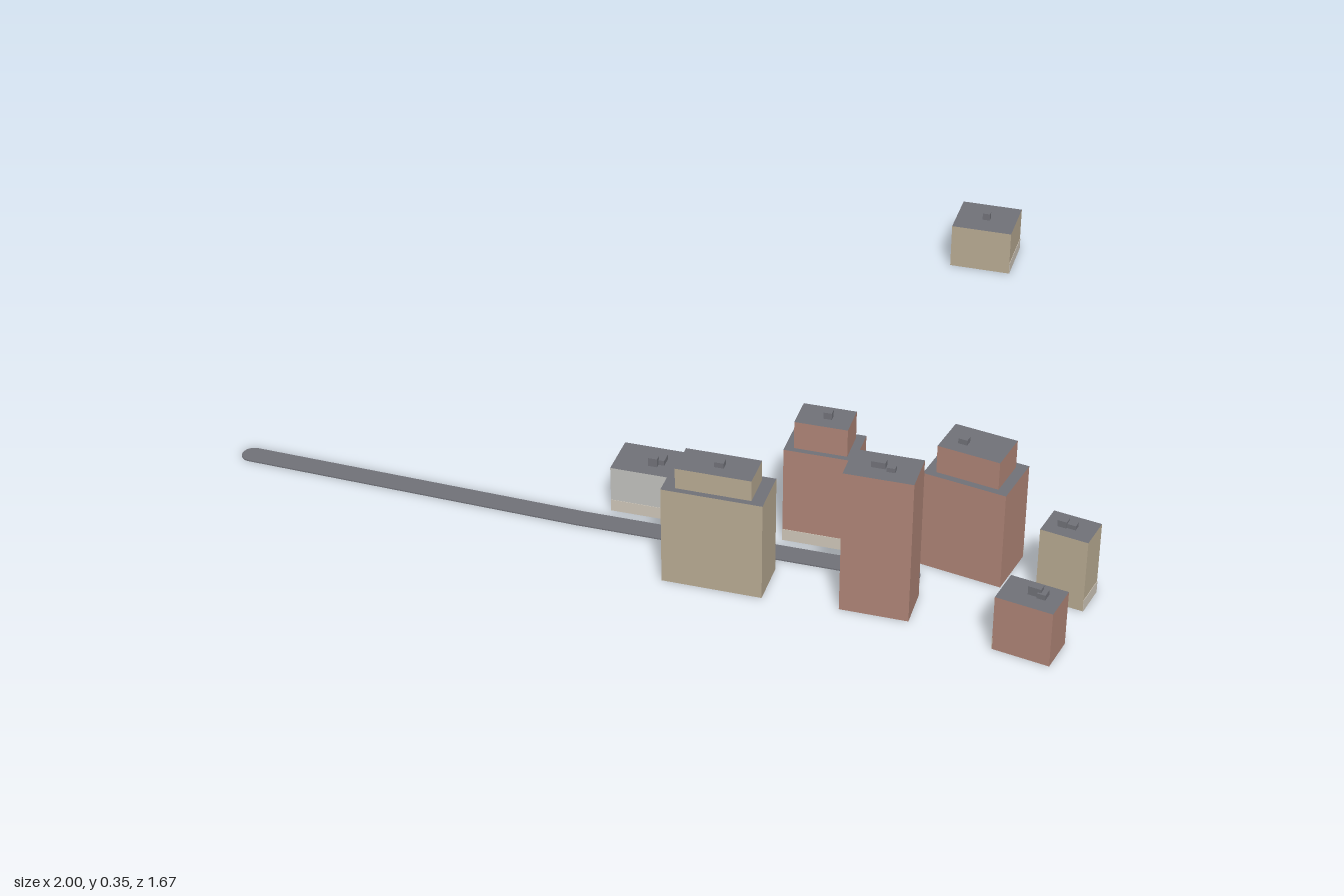
import * as THREE from 'three';

const mat = (name, color) => {
  const m = new THREE.MeshStandardMaterial({ color });
  m.name = name;
  return m;
};

// Flat street with rounded ends, built around a bent centre line of [x, z] points
function roadGeometry(points, radius, height) {
  const p = points.map(([x, z]) => new THREE.Vector2(x, -z));
  const last = p.length - 1;
  const dir = (i, j) => p[j].clone().sub(p[i]).normalize();
  const side = (i) => {
    const d = dir(Math.max(i - 1, 0), Math.min(i + 1, last));
    return new THREE.Vector2(-d.y, d.x).multiplyScalar(radius);
  };
  const a0 = dir(0, 1).angle(), a1 = dir(last - 1, last).angle();
  const shape = new THREE.Shape();
  shape.absarc(p[0].x, p[0].y, radius, a0 + Math.PI / 2, a0 + Math.PI * 1.5, false);
  for (let i = 1; i < last; i++) {
    const q = p[i].clone().sub(side(i));
    shape.lineTo(q.x, q.y);
  }
  shape.absarc(p[last].x, p[last].y, radius, a1 - Math.PI / 2, a1 + Math.PI / 2, false);
  for (let i = last - 1; i > 0; i--) {
    const q = p[i].clone().add(side(i));
    shape.lineTo(q.x, q.y);
  }
  shape.closePath();
  const g = new THREE.ExtrudeGeometry(shape, { depth: height, bevelEnabled: false, curveSegments: 8 });
  return g.rotateX(-Math.PI / 2);
}

export function createModel() {
  const model = new THREE.Group();
  model.name = 'townBlock';
  const brick = mat('brick', 0xae8476);
  const tan = mat('tanStone', 0xb8aa92);
  const pale = mat('paleConcrete', 0xc0c0bc);
  const grey = mat('roofGrey', 0x707178);
  const cream = mat('shopfrontCream', 0xcdc5b8);

  const addBox = (parent, name, size, pos, material) => {
    const mesh = new THREE.Mesh(new THREE.BoxGeometry(...size), material);
    mesh.name = name;
    mesh.position.set(...pos);
    parent.add(mesh);
  };

  // Walls with a grey roof face on top
  const addBlock = (parent, name, w, d, y0, y1, wall) =>
    addBox(parent, name, [w, y1 - y0, d], [0, (y0 + y1) / 2, 0],
      [wall, wall, grey, wall, wall, wall]);

  // Pale strip at the foot of the wall that faces the street
  const addShopfront = (parent, w, d, face) => {
    const t = 0.002, h = 0.028;
    const sign = face[0] === '+' ? 1 : -1;
    if (face[1] === 'x') addBox(parent, 'shopfront', [t, h, d], [sign * w / 2, h / 2, 0], cream);
    else addBox(parent, 'shopfront', [w, h, t], [0, h / 2, sign * d / 2], cream);
  };

  // Buildings: position, turn in degrees, width, depth, height, optional setback top,
  // shopfront side, and rooftop units [x, z, width, depth, height]
  const buildings = [
    { name: 'remoteBuilding', x: 0.9, z: -0.742, turn: 33, w: 0.147, d: 0.13, h: 0.11, wall: tan,
      face: '+x', units: [[0, 0.005, 0.018, 0.014, 0.017]] },
    { name: 'paleBuilding', x: -0.176, z: 0.052, turn: 33, w: 0.147, d: 0.103, h: 0.11, wall: pale,
      face: '+z', units: [[0.022, -0.002, 0.026, 0.026, 0.012], [0.012, 0.014, 0.02, 0.014, 0.02]] },
    { name: 'tanTower', x: -0.11, z: 0.347, turn: 33, w: 0.217, d: 0.105, h: 0.23, top: 0.278, wall: tan,
      face: '-z', units: [[0.004, 0.003, 0.02, 0.016, 0.012]] },
    { name: 'brickTower', x: 0.147, z: 0.264, turn: 33, w: 0.153, d: 0.1, h: 0.23, top: 0.295, wall: brick,
      face: '+z', units: [[0.006, 0, 0.018, 0.016, 0.015]] },
    { name: 'cornerTower', x: 0.415, z: 0.447, turn: 44, w: 0.185, d: 0.124, h: 0.23, top: 0.295, wall: brick,
      face: '-z', units: [[-0.026, 0.01, 0.02, 0.016, 0.012]] },
    { name: 'tallTower', x: 0.18, z: 0.533, turn: 33, w: 0.147, d: 0.092, h: 0.338, wall: brick,
      face: '-z', units: [[-0.01, 0, 0.03, 0.016, 0.014], [0.018, 0.008, 0.018, 0.016, 0.01]] },
    { name: 'tanHouse', x: 0.56, z: 0.617, turn: 44, w: 0.105, d: 0.076, h: 0.172, wall: tan,
      face: '+x', units: [[-0.016, 0.002, 0.02, 0.018, 0.015], [0.003, 0, 0.02, 0.016, 0.01]] },
    { name: 'brickHouse', x: 0.421, z: 0.758, turn: 44, w: 0.125, d: 0.084, h: 0.13, wall: brick,
      face: '-x', units: [[0.006, -0.005, 0.028, 0.016, 0.02], [0.022, -0.004, 0.018, 0.022, 0.012]] },
  ];

  for (const b of buildings) {
    const g = new THREE.Group();
    g.name = b.name;
    g.position.set(b.x, 0, b.z);
    g.rotation.y = -THREE.MathUtils.degToRad(b.turn);
    addBlock(g, 'walls', b.w, b.d, 0, b.h, b.wall);
    if (b.top) addBlock(g, 'setbackTop', b.w * 0.75, b.d * 0.75, b.h, b.top, b.wall);
    addShopfront(g, b.w, b.d, b.face);
    const roof = b.top ?? b.h;
    for (const [x, z, w, d, h] of b.units)
      addBox(g, 'rooftopUnit', [w, h, d], [x, roof + h / 2, z], grey);
    model.add(g);
  }

  // Street
  const road = new THREE.Mesh(
    roadGeometry([[-0.975, -0.376], [-0.34, 0.067], [0.27, 0.462]], 0.025, 0.003), grey);
  road.name = 'road';
  model.add(road);
  return model;
}
